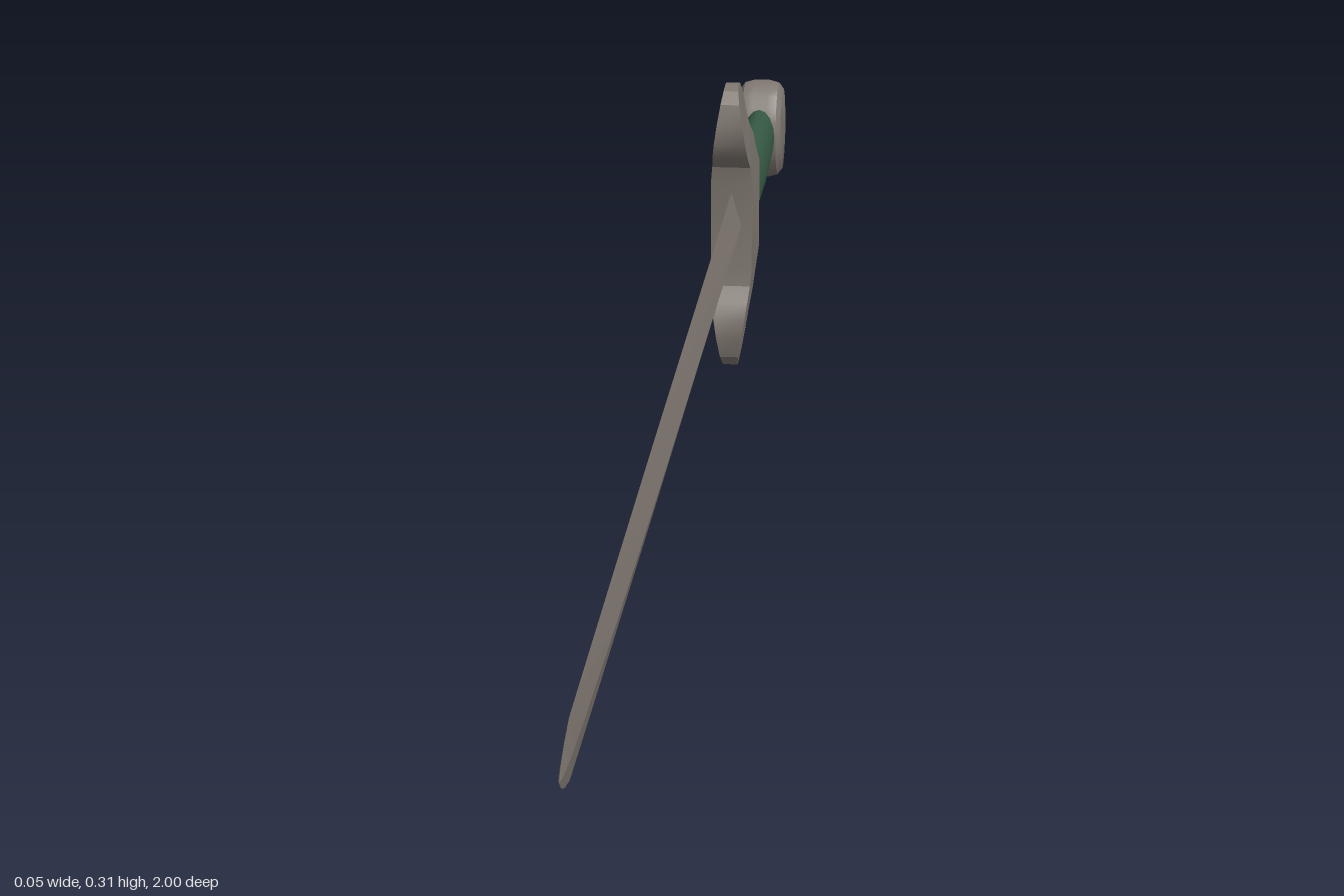
import * as THREE from 'three';
import { toCreasedNormals } from 'three/addons/utils/BufferGeometryUtils.js';

const CY = 0.157; // height of the sword's long axis

export function createModel() {
  const steel = new THREE.MeshStandardMaterial({ color: 0x7f7770 });
  steel.name = 'steel';
  const wrap = new THREE.MeshStandardMaterial({ color: 0x365a43 });
  wrap.name = 'greenWrap';

  const sword = new THREE.Group();
  sword.name = 'sword';
  const add = (name, geometry, material) => {
    const mesh = new THREE.Mesh(geometry, material);
    mesh.name = name;
    mesh.position.y = CY;
    sword.add(mesh);
  };

  // Blade: diamond sections [z, half height, half thickness], tapering to the tip
  const sections = [
    [-0.6, 0.037, 0.011], [0.27, 0.034, 0.009], [0.65, 0.031, 0.007],
    [0.86, 0.029, 0.005], [0.93, 0.028, 0.004], [0.965, 0.02, 0.003],
    [0.988, 0.011, 0.002], [1, 0.002, 0.0005],
  ];
  const rings = sections.map(([z, h, t]) => [[t, 0, z], [0, h, z], [-t, 0, z], [0, -h, z]]);
  const blade = [];
  const quad = (a, b, c, d) => blade.push(...a, ...b, ...c, ...a, ...c, ...d);
  for (let i = 0; i < rings.length - 1; i++) {
    for (let k = 0; k < 4; k++) {
      const n = (k + 1) % 4;
      quad(rings[i][k], rings[i][n], rings[i + 1][n], rings[i + 1][k]);
    }
  }
  quad(...rings[rings.length - 1]);
  quad(...[...rings[0]].reverse());
  const bladeGeo = new THREE.BufferGeometry();
  bladeGeo.setAttribute('position', new THREE.Float32BufferAttribute(blade, 3));
  bladeGeo.computeVertexNormals();
  add('blade', bladeGeo, steel);

  // Crossguard: mirrored side profile [z, y], thinning towards the arm ends
  const upper = [
    [-0.568, 0.048], [-0.565, 0.066], [-0.55, 0.08], [-0.541, 0.097], [-0.54, 0.118],
    [-0.546, 0.14], [-0.558, 0.152], [-0.572, 0.156], [-0.586, 0.154], [-0.595, 0.143],
    [-0.597, 0.125], [-0.604, 0.106], [-0.63, 0.087], [-0.64, 0.068], [-0.662, 0.048],
  ];
  const lower = upper.map(([z, y]) => [z, -y]).reverse();
  const outline = [...upper, ...lower].map(([z, y]) => new THREE.Vector2(z, y));
  const guard = new THREE.ExtrudeGeometry(new THREE.Shape(outline), { depth: 1, bevelEnabled: false });
  guard.translate(0, 0, -0.5).rotateY(-Math.PI / 2);
  const p = guard.attributes.position;
  for (let i = 0; i < p.count; i++) {
    const t = Math.max(0, (Math.abs(p.getY(i)) - 0.048) / 0.108);
    p.setX(i, Math.sign(p.getX(i)) * (0.022 - 0.009 * t - 0.006 * t * t));
  }
  guard.computeVertexNormals();
  add('crossguard', toCreasedNormals(guard, 0.5), steel);

  // Grip: oval handle, slightly swollen in the middle
  const gripProfile = [[0.031, -0.93], [0.034, -0.85], [0.036, -0.78], [0.035, -0.71], [0.032, -0.64]];
  const grip = new THREE.LatheGeometry(gripProfile.map(([r, z]) => new THREE.Vector2(r, z)), 16);
  grip.rotateX(Math.PI / 2).scale(0.56, 1, 1);
  add('grip', grip, wrap);

  // Pommel: upright oval disc with a bevelled rim
  const pommelProfile = [
    [0, -0.027], [0.046, -0.024], [0.053, -0.019], [0.056, -0.008],
    [0.056, 0.008], [0.053, 0.019], [0.046, 0.024], [0, 0.027],
  ];
  const pommel = new THREE.LatheGeometry(pommelProfile.map(([r, x]) => new THREE.Vector2(r, x)), 20);
  pommel.rotateZ(-Math.PI / 2).scale(1, 1, 0.78).translate(0, 0, -0.956);
  add('pommel', toCreasedNormals(pommel, 0.6), steel);

  return sword;
}
